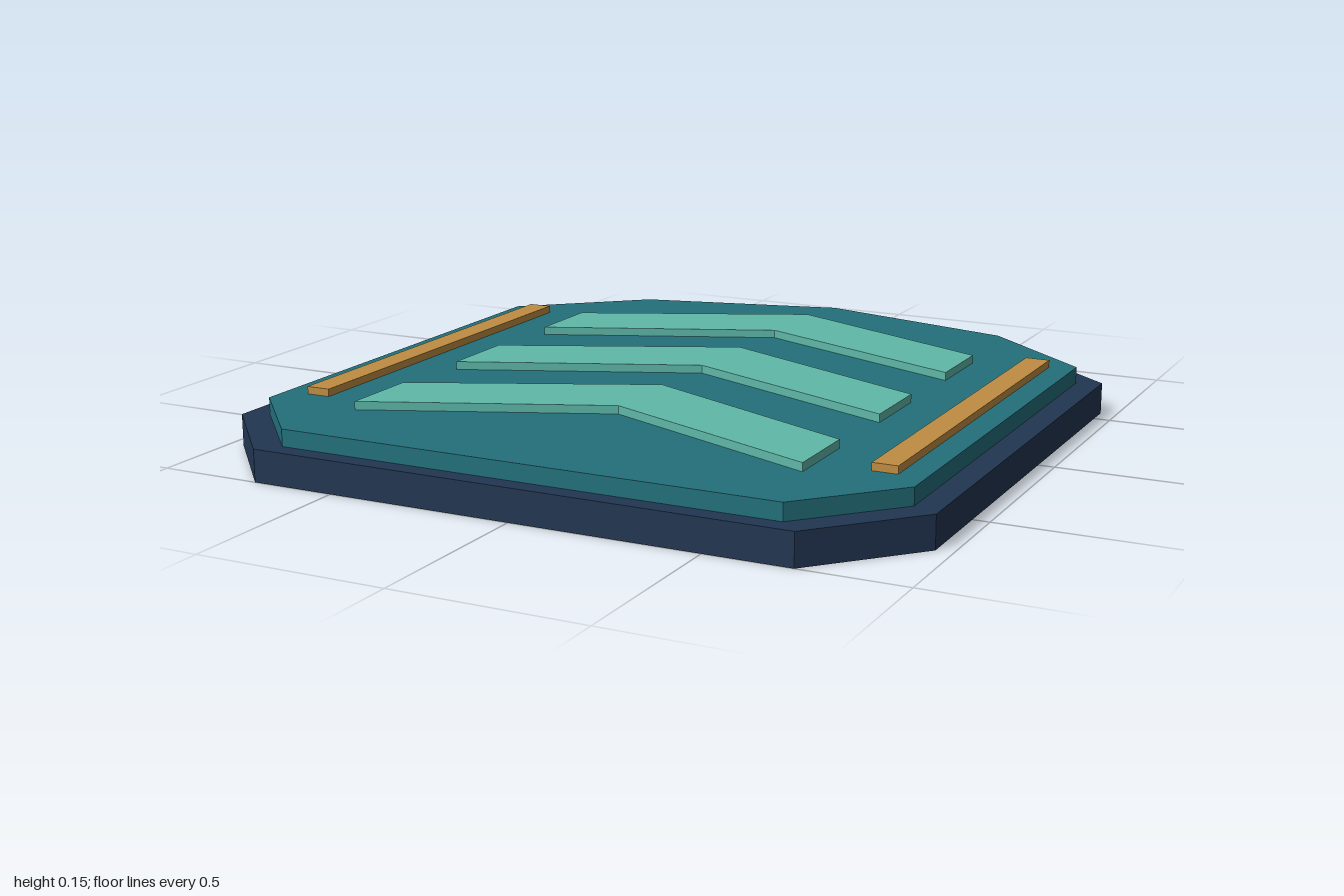
import * as THREE from 'three';

const material = (name, color) => new THREE.MeshStandardMaterial({ name, color });

// Horizontal slab: outline of [x, z] points, raised from y0 to y1
function slab(name, outline, y0, y1, mat) {
  const shape = new THREE.Shape(outline.map(([x, z]) => new THREE.Vector2(x, -z)));
  const geometry = new THREE.ExtrudeGeometry(shape, { depth: y1 - y0, bevelEnabled: false });
  geometry.rotateX(-Math.PI / 2);
  geometry.translate(0, y0, 0);
  const mesh = new THREE.Mesh(geometry, mat);
  mesh.name = name;
  return mesh;
}

// Closes a right-half outline (back tip first) by mirroring it across x = 0
const mirrored = (tip, half) => [tip, ...half, ...half.map(([x, z]) => [-x, z]).reverse()];

export function createModel() {
  const navy = material('navy', 0x223652);
  const teal = material('teal', 0x23707a);
  const mint = material('mint', 0x5fb8a8);
  const amber = material('amber', 0xc08d42);

  const model = new THREE.Group();
  model.name = 'chevronPad';

  // Base plate and inset panel
  const baseOutline = mirrored([0, -1], [[0.613, -0.85], [0.957, -0.563], [0.957, 0.748], [0.725, 1]]);
  const panelOutline = mirrored([0, -0.948], [[0.574, -0.806], [0.892, -0.533], [0.892, 0.715], [0.675, 0.95]]);
  model.add(slab('basePlate', baseOutline, 0, 0.085, navy));
  model.add(slab('topPanel', panelOutline, 0.085, 0.13, teal));

  // Three chevrons pointing to the back
  for (let i = 0; i < 3; i++) {
    const z = -0.733 + i * 0.476;
    const outline = [[0, z], [0.62, z + 0.28], [0.62, z + 0.5], [0, z + 0.24], [-0.62, z + 0.5], [-0.62, z + 0.28]];
    model.add(slab(`chevron${i + 1}`, outline, 0.13, 0.152, mint));
  }

  // Side rails
  for (const side of [-1, 1]) {
    const rail = new THREE.Mesh(new THREE.BoxGeometry(0.066, 0.02, 1.14), amber);
    rail.name = side > 0 ? 'leftRail' : 'rightRail';
    rail.position.set(side * 0.791, 0.14, 0.07);
    model.add(rail);
  }
  return model;
}
